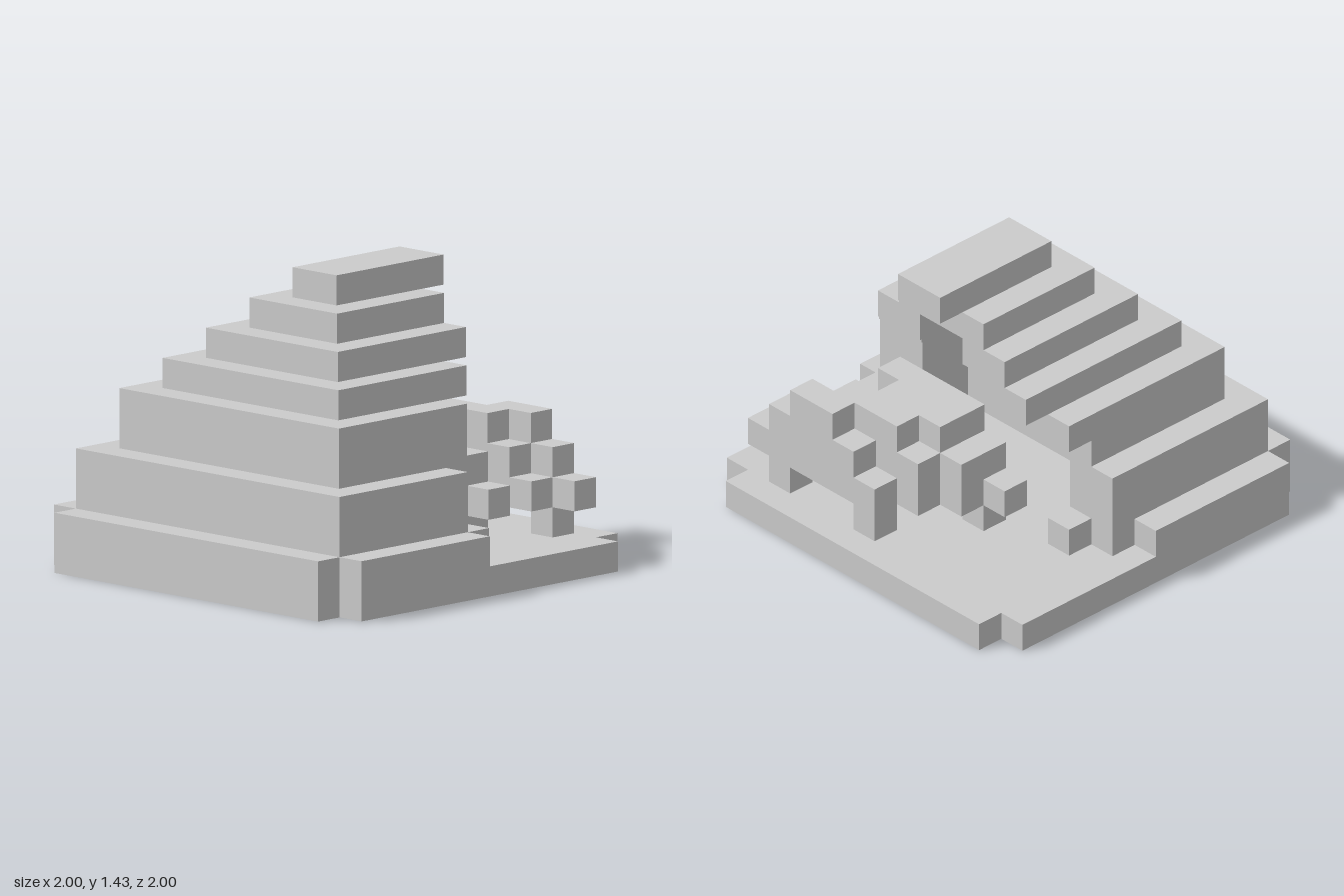
import * as THREE from 'three';

const U = 1 / 7; // one block

export function createModel() {
  const model = new THREE.Group();
  const material = new THREE.MeshStandardMaterial({ color: 0xcccccc, flatShading: true });

  const group = (name) => {
    const g = new THREE.Group();
    g.name = name;
    model.add(g);
    return g;
  };
  // box between block coordinates
  const box = (parent, name, x0, x1, y0, y1, z0, z1) => {
    const mesh = new THREE.Mesh(
      new THREE.BoxGeometry((x1 - x0) * U, (y1 - y0) * U, (z1 - z0) * U), material);
    mesh.position.set((x0 + x1) / 2 * U, (y0 + y1) / 2 * U, (z0 + z1) / 2 * U);
    mesh.name = name;
    parent.add(mesh);
  };

  // ground slab with notched corners
  const ground = group('ground');
  box(ground, 'groundMiddle', -6, 6, 0, 1, -7, 7);
  box(ground, 'groundLeftEdge', 6, 7, 0, 1, -6, 6);
  box(ground, 'groundRightEdge', -7, -6, 0, 1, -6, 6);

  // stepped hill, hollow and open towards +x
  // y0, y1, half width, cave half width, cave back x, front wall end, back wall end
  const cave = group('caveHill');
  box(cave, 'lowestStep', -7, -6, 1, 2, -6, 6);
  const tiers = [
    [1, 2, 7, 4, -2, 0, 0],
    [2, 4, 6, 4, -2, 0, 1],
    [4, 6, 5, 3, -2, 1, 1],
    [6, 7, 4, 2, -1, 2, 3],
    [7, 8, 3, 1, 0, 3, 3],
  ];
  for (const [y0, y1, r, w, inner, front, back] of tiers) {
    const x0 = -Math.min(r, 6);
    box(cave, 'tierRear', x0, inner, y0, y1, -r, r);
    box(cave, 'tierFrontWall', inner, front, y0, y1, w, r);
    box(cave, 'tierBackWall', inner, back, y0, y1, -r, -w);
  }
  box(cave, 'upperRoof', -2, 3, 8, 9, -2, 2);
  box(cave, 'topRoof', -1, 4, 9, 10, -1, 1);
  box(cave, 'frontOverhang', 0, 1, 3, 4, 4, 5);
  box(cave, 'backOverhang', 1, 2, 5, 6, -5, -3);

  // loose stones at the mouth
  const stones = group('stones');
  for (const [x, z] of [[0, 5], [0, -6], [1, -5]]) {
    box(stones, 'stone', x, x + 1, 1, 2, z, z + 1);
  }

  // blocky creature: each slice has a start z and a row of top heights
  const creature = group('creature');
  const slices = [
    [2, -3, [3, 4, 5, 5, 5, 5, 4, 3]],
    [3, -2, [4, 5, 5, 5]],
    [4, -1, [4, 5, 5, 5, 4, 3]],
    [5, 0, [3, 4, 5, 5, 4, 3]],
  ];
  for (const [x, start, tops] of slices) {
    tops.forEach((top, i) =>
      box(creature, 'body', x, x + 1, 2, top, start + i, start + i + 1));
  }
  for (const [x, z] of [[2, -2], [2, 3], [5, 0], [5, 4]]) {
    box(creature, 'leg', x, x + 1, 1, 2, z, z + 1);
  }
  return model;
}
